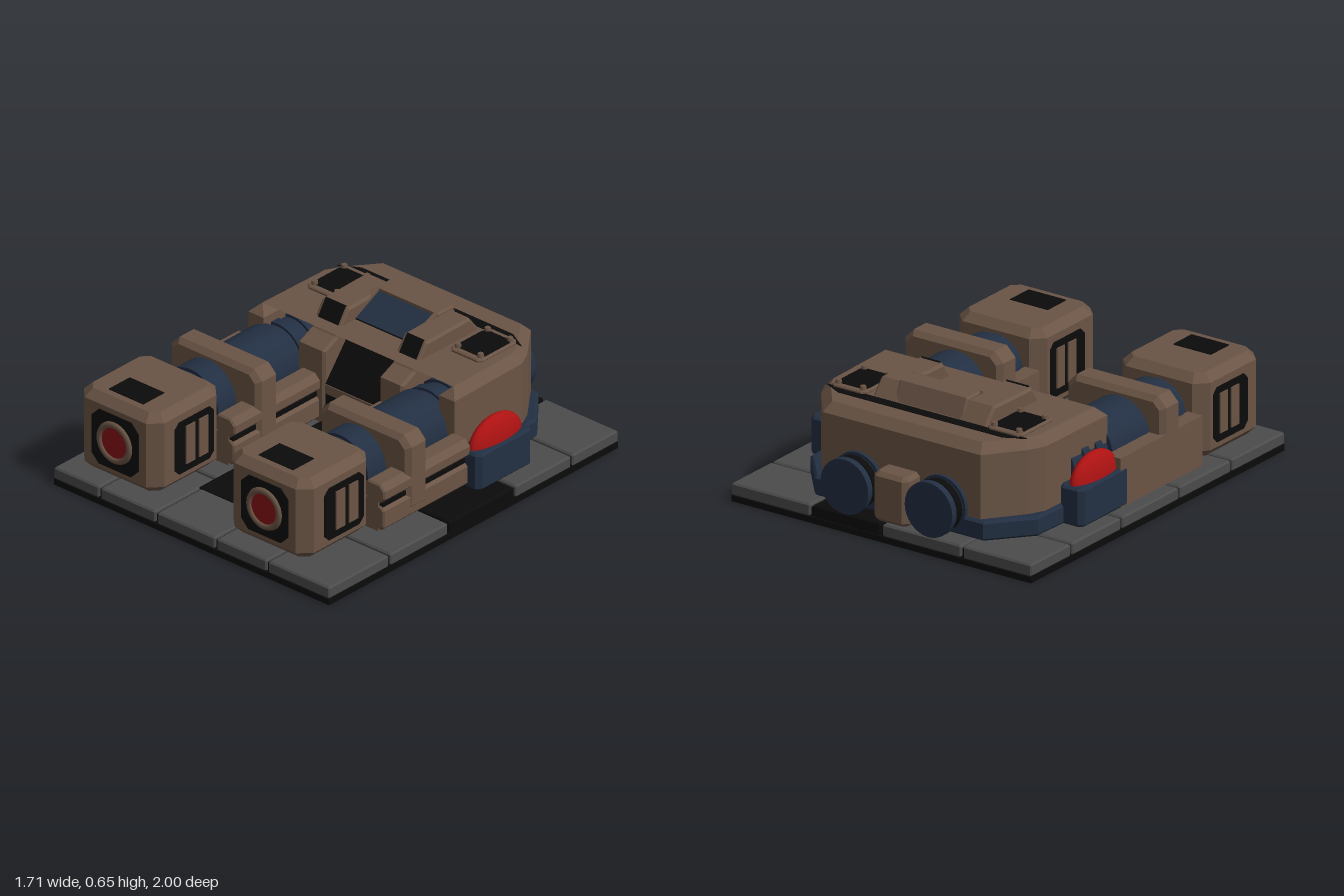
import * as THREE from 'three';

const mat = (name, color) => Object.assign(new THREE.MeshStandardMaterial({ color }), { name });
const brown = mat('brown armour', 0x6a5445);
const blue = mat('dark blue metal', 0x222f42);
const red = mat('red lamp', 0xad1212);
const lens = mat('dark red lens', 0x8a1014);
const grey = mat('grey paving', 0x4b4b4b);
const black = mat('black', 0x0b0b0b);

const CX = -0.03; // centre line of the machine on its base

function add(parent, name, geometry, material, x = 0, y = 0, z = 0) {
  const mesh = new THREE.Mesh(geometry, material);
  mesh.name = name;
  mesh.position.set(x, y, z);
  parent.add(mesh);
  return mesh;
}

// Box given by its limits
function box(parent, name, material, [x0, x1], [y0, y1], [z0, z1]) {
  return add(parent, name, new THREE.BoxGeometry(x1 - x0, y1 - y0, z1 - z0), material,
    (x0 + x1) / 2, (y0 + y1) / 2, (z0 + z1) / 2);
}

// Chamfered extrusion of a polygon from 0 to depth
function extrude(points, depth, bevel) {
  const shape = new THREE.Shape(points.map(([a, b]) => new THREE.Vector2(a, b)));
  const geometry = new THREE.ExtrudeGeometry(shape, {
    depth: depth - 2 * bevel, bevelEnabled: bevel > 0, bevelThickness: bevel,
    bevelSize: bevel, bevelOffset: -bevel, bevelSegments: 1,
  });
  return geometry.translate(0, 0, bevel);
}

// Outline in (x, z) raised from y0 to y1
const raise = (points, y0, y1, bevel = 0) =>
  extrude(points.map(([x, z]) => [x, -z]), y1 - y0, bevel).rotateX(-Math.PI / 2).translate(0, y0, 0);

// Profile in (z, y) spread from x0 to x1
const spread = (points, x0, x1, bevel = 0) =>
  extrude(points.map(([z, y]) => [-z, y]), x1 - x0, bevel).rotateY(Math.PI / 2).translate(x0, 0, 0);

// Rectangle with cut corners
const octagon = (a0, a1, b0, b1, c) => [
  [a0 + c, b0], [a1 - c, b0], [a1, b0 + c], [a1, b1 - c],
  [a1 - c, b1], [a0 + c, b1], [a0, b1 - c], [a0, b0 + c],
];

// Cylinder along z
function drum(parent, name, material, r, x, y, z0, z1, sides = 32) {
  const geometry = new THREE.CylinderGeometry(r, r, z1 - z0, sides).rotateX(Math.PI / 2);
  return add(parent, name, geometry, material, x, y, (z0 + z1) / 2);
}

function buildBase() {
  const base = new THREE.Group();
  base.name = 'base';
  box(base, 'baseSlab', black, [-0.855, 0.855], [0, 0.03], [-1, 1]);
  box(base, 'pavingJoints', black, [-0.84, 0.84], [0.03, 0.075], [-0.985, 0.985]);
  const rows = [
    [-1, -0.68, [-0.855, -0.46, 0, 0.4, 0.855], 2],
    [-0.68, -0.285, [-0.855, -0.2, 0.3, 0.855], -1],
    [-0.285, 0.17, [-0.855, -0.4, 0.14, 0.855], 2],
    [0.17, 0.58, [-0.855, -0.22, 0.15, 0.855], -1],
    [0.58, 1, [-0.855, -0.57, -0.22, 0.15, 0.47, 0.855], -1],
  ];
  rows.forEach(([z0, z1, xs, dark]) => {
    for (let i = 0; i + 1 < xs.length; i++) {
      const tile = octagon(xs[i] + (i ? 0.007 : 0), xs[i + 1] - (i + 2 < xs.length ? 0.007 : 0),
        z0 + (z0 > -1 ? 0.007 : 0), z1 - (z1 < 1 ? 0.007 : 0), 0.006);
      add(base, 'pavingTile', raise(tile, 0.03, 0.092, 0.008), i === dark ? black : grey);
    }
  });
  box(base, 'channelFloor', black, [-0.22, 0.145], [0.09, 0.098], [-0.2, 0.7]);
  return base;
}

// One arm, modelled around its own drum axis
function buildArm(x) {
  const arm = new THREE.Group();
  arm.name = 'arm';
  const cy = 0.312;
  // Drum with ribs
  drum(arm, 'innerDrum', blue, 0.15, 0, cy, -0.42, -0.14);
  [-0.34, -0.24].forEach((z) => drum(arm, 'drumRib', blue, 0.163, 0, cy, z, z + 0.05));
  drum(arm, 'mainDrum', blue, 0.172, 0, cy, -0.15, 0.41);
  drum(arm, 'frontCollar', blue, 0.155, 0, cy, 0.41, 0.47);
  // Cradle under the drum
  box(arm, 'cradle', brown, [-0.25, 0.27], [0.092, 0.25], [-0.2, 0.45]);
  box(arm, 'outerRail', brown, [-0.25, -0.165], [0.25, 0.34], [-0.2, 0.45]);
  add(arm, 'sideRail', extrude(octagon(0.175, 0.31, 0.24, 0.34, 0.03), 0.6, 0.008), brown, 0, 0, -0.15);
  add(arm, 'lowerRail', extrude(octagon(0.19, 0.305, 0.1, 0.225, 0.02), 0.6, 0.008), brown, 0, 0, -0.15);
  box(arm, 'railGap', black, [0.2, 0.29], [0.22, 0.245], [-0.14, 0.44]);
  // Clamp band
  add(arm, 'clampBand', extrude(octagon(-0.25, 0.31, 0.11, 0.52, 0.05), 0.145, 0.025), brown, 0, 0, 0.14);
  // Front housing
  add(arm, 'housing', raise(octagon(-0.25, 0.25, 0.45, 0.93, 0.06), 0.105, 0.522, 0.04), brown);
  box(arm, 'topInset', black, [-0.108, 0.106], [0.521, 0.526], [0.71, 0.855]);
  add(arm, 'lampPlate', extrude(octagon(-0.145, 0.145, 0.167, 0.455, 0.045), 0.006, 0), black, 0, 0, 0.929);
  add(arm, 'lampRing', new THREE.TorusGeometry(0.092, 0.018, 8, 32), brown, 0, cy, 0.932);
  drum(arm, 'lampLens', lens, 0.08, 0, cy, 0.928, 0.939);
  // Side vents
  [-1, 1].forEach((s) => {
    const ventX = s * 0.25 - 0.004;
    add(arm, 'ventPlate', spread(octagon(0.53, 0.8, 0.17, 0.445, 0.03), ventX, ventX + 0.008), black);
    [0.575, 0.665].forEach((z) =>
      box(arm, 'ventSlat', brown, [s * 0.25 - 0.01, s * 0.25 + 0.01], [0.21, 0.41], [z, z + 0.062]));
  });
  arm.position.x = x;
  return arm;
}

function buildBody() {
  const body = new THREE.Group();
  body.name = 'body';
  const mirror = (half) => [...half.map(([x, z]) => [CX + x, z]),
    ...half.slice().reverse().map(([x, z]) => [CX - x, z])];
  // Hull with recesses for the drums, on a low skirt
  add(body, 'hull', raise(mirror([
    [0.45, -0.88], [0.59, -0.7], [0.63, -0.62], [0.64, -0.14], [0.545, -0.14], [0.545, -0.4],
  ]), 0.092, 0.555, 0.045), brown);
  add(body, 'skirt', raise(mirror([[0.48, -0.9], [0.65, -0.7], [0.66, -0.4]]), 0.092, 0.19, 0.012), blue);
  add(body, 'rearShadowPanel', raise(
    [[-0.6, -0.68], [-0.5, -0.735], [0.44, -0.735], [0.54, -0.68]], 0.553, 0.558), black);

  // Raised rails either side of the channel
  const rail = [[-0.14, 0.092], [-0.14, 0.47], [-0.23, 0.51], [-0.31, 0.63],
    [-0.61, 0.635], [-0.68, 0.55], [-0.68, 0.092]];
  [[-0.365, -0.2], [0.14, 0.285]].forEach(([x0, x1]) => {
    add(body, 'channelRail', spread(rail, x0, x1, 0.012), brown);
    add(body, 'railStep', spread([[-0.243, 0.52], [-0.318, 0.632], [-0.322, 0.627], [-0.247, 0.515]],
      x0 + 0.02, x1 - 0.02).translate(0, 0.006, 0.004), black);
  });
  // Bridge, screen and sloping back wall of the channel
  add(body, 'bridge', spread([[-0.52, 0.5], [-0.52, 0.65], [-0.63, 0.65], [-0.67, 0.55], [-0.67, 0.5]],
    -0.225, 0.165, 0.008), brown);
  [[-0.225, -0.2], [0.14, 0.165]].forEach(([x0, x1]) => add(body, 'screenFrame',
    spread([[-0.35, 0.52], [-0.35, 0.575], [-0.52, 0.65], [-0.53, 0.52]], x0, x1), brown));
  add(body, 'screen', spread([[-0.36, 0.4], [-0.36, 0.56], [-0.53, 0.642], [-0.53, 0.4]], -0.2, 0.14), blue);
  add(body, 'backWall', spread([[-0.15, 0.19], [-0.15, 0.3], [-0.36, 0.56], [-0.4, 0.19]], -0.2, 0.14), black);
  box(body, 'wallLip', brown, [-0.2, 0.14], [0.25, 0.298], [-0.2, -0.145]);
  box(body, 'wallFoot', blue, [-0.2, 0.14], [0.092, 0.19], [-0.3, -0.14]);

  // Bolted hatches
  [-1, 1].forEach((s) => {
    const x = CX + s * 0.445;
    add(body, 'hatch', raise(octagon(x - 0.098, x + 0.098, -0.695, -0.425, 0.02), 0.55, 0.57, 0.006), brown);
    add(body, 'hatchInset', raise(octagon(x - 0.085, x + 0.085, -0.665, -0.455, 0.02), 0.569, 0.573), black);
    for (const dx of [-0.07, 0.07]) for (const z of [-0.665, -0.46])
      add(body, 'bolt', new THREE.CylinderGeometry(0.014, 0.018, 0.022, 8), brown, x + dx, 0.577, z);
  });

  // Side lamps in their holders
  [-1, 1].forEach((s) => {
    const x = CX / 2 + 0.005 + s * 0.71;
    add(body, 'lampHolder', raise(octagon(x - 0.07, x + 0.07, -0.51, -0.13, 0.025), 0.092, 0.285, 0.012), blue);
    add(body, 'sideLamp', new THREE.SphereGeometry(1, 28, 18).scale(0.058, 0.135, 0.175), red, x, 0.27, -0.32);
  });

  // Rear drums and the block between them
  [-1, 1].forEach((s) => {
    const x = CX + s * 0.24;
    drum(body, 'rearDrum', blue, 0.122, x, 0.226, -0.985, -0.82);
    drum(body, 'rearDrumBand', black, 0.128, x, 0.226, -0.95, -0.91);
    drum(body, 'rearDrumCap', blue, 0.136, x, 0.226, -1, -0.965);
    drum(body, 'rearDrumCollar', blue, 0.138, x, 0.226, -0.9, -0.86);
  });
  add(body, 'rearBlock', raise(octagon(-0.135, 0.062, -0.99, -0.84, 0.025), 0.092, 0.34, 0.02), brown);
  return body;
}

export function createModel() {
  const model = new THREE.Group();
  model.name = 'machine';
  model.add(buildBase(), buildBody(), buildArm(-0.535), buildArm(0.395));
  return model;
}
